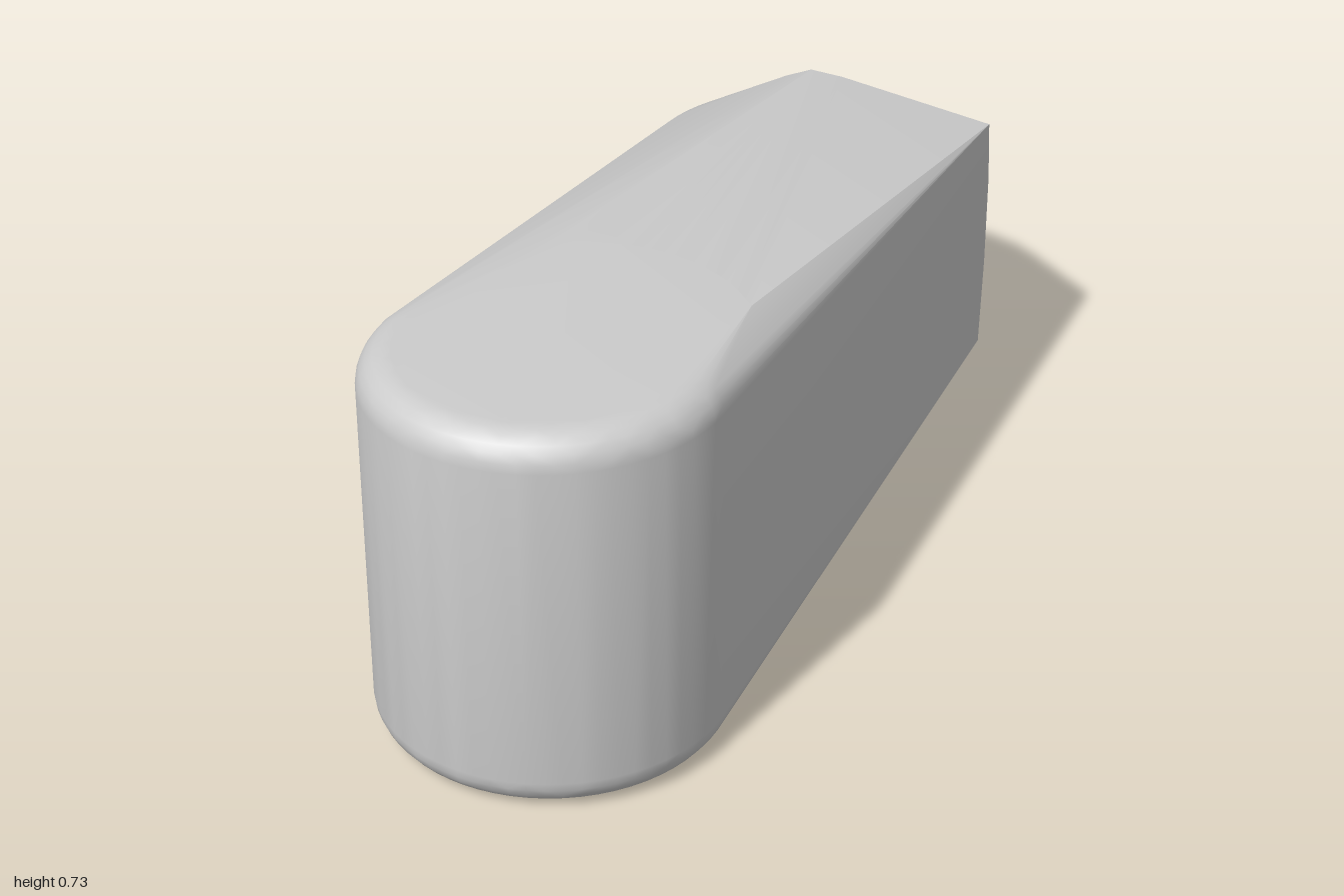
import * as THREE from 'three';
import { ConvexGeometry } from 'three/addons/geometries/ConvexGeometry.js';
import { toCreasedNormals } from 'three/addons/utils/BufferGeometryUtils.js';

const MID = 0.3625; // height of the horizontal mirror plane

export function createModel() {
  const group = new THREE.Group();
  const points = [];

  // adds a point and its mirror below the middle plane
  const add = (x, h, z) => points.push(
    new THREE.Vector3(x, MID + h, z), new THREE.Vector3(x, MID - h, z));

  // half ring around (cx, cz); dir +1 bulges to the front, -1 to the back
  const halfRing = (cx, cz, r, h, dir, n = 32) => {
    for (let i = 0; i <= n; i++) {
      const a = Math.PI * i / n;
      add(cx + r * Math.cos(a), h, cz + dir * r * Math.sin(a));
    }
  };

  // large front end with a rounded rim
  const fillet = 0.06, steps = 6;
  for (let k = 0; k <= steps; k++) {
    const a = Math.PI / 2 * k / steps;
    halfRing(0.04, 0.68, 0.32 - fillet * (1 - Math.cos(a)),
      MID - fillet * (1 - Math.sin(a)), 1);
  }

  // rear boundary of the flat cap
  const capEdge = new THREE.SplineCurve([
    [-0.21, 0.66], [-0.12, 0.36], [-0.04, 0.31], [0.05, 0.295],
    [0.14, 0.31], [0.23, 0.355], [0.3, 0.42],
  ].map(([x, z]) => new THREE.Vector2(x, z)));
  capEdge.getPoints(24).forEach((p) => add(p.x, MID, p.y));

  // slim round back end with a small rim
  halfRing(0, -0.64, 0.36, 0.095, -1);
  halfRing(0, -0.64, 0.355, 0.113, -1);
  halfRing(0, -0.64, 0.34, 0.128, -1);

  // raised rear peak and the sharp corner on the flat side
  add(-0.08, 0.275, -0.68);
  add(-0.04, 0.28, -0.72);
  add(0.03, 0.277, -0.717);
  add(0.36, 0.247, -0.68);

  const body = new THREE.Mesh(
    toCreasedNormals(new ConvexGeometry(points), 0.35),
    new THREE.MeshStandardMaterial({ color: 0xcccccc }));
  body.name = 'taperedBody';
  group.add(body);
  return group;
}
